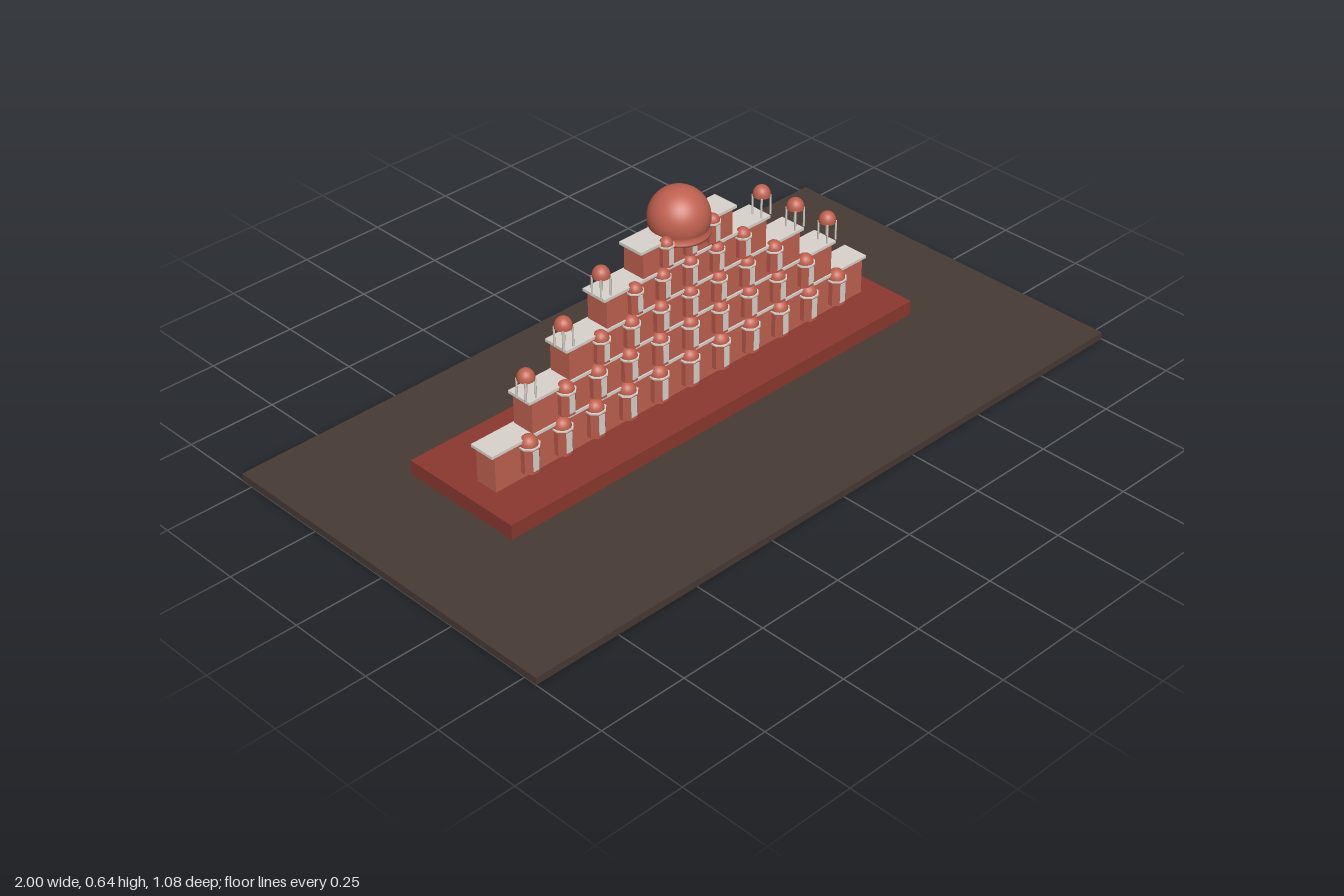
import * as THREE from 'three';

const mat = (color, flatShading = false) =>
  new THREE.MeshStandardMaterial({ color, flatShading, side: THREE.DoubleSide });
const stone = mat(0xc0614f), facet = mat(0xb85a4a, true), plinthRed = mat(0x8a382e);
const pale = mat(0xd8d4cc), earth = mat(0x473a35), dark = mat(0x3a2420);

function add(parent, name, geometry, material, x = 0, y = 0, z = 0) {
  const m = new THREE.Mesh(geometry, material);
  m.name = name;
  m.position.set(x, y, z);
  parent.add(m);
  return m;
}

// Box given by its bottom and top heights
function slab(parent, name, w, y0, y1, d, z, material, x = 0) {
  return add(parent, name, new THREE.BoxGeometry(w, y1 - y0, d), material, x, (y0 + y1) / 2, z);
}

const cap = (r, squash = 1) =>
  new THREE.SphereGeometry(r, 16, 8, 0, Math.PI * 2, 0, Math.PI / 2).scale(1, squash, 1);

// Projecting half-octagonal window bay with a pale screen and a small dome
function makeBay(x, y0, y1, r) {
  const g = new THREE.Group();
  g.name = 'windowBay';
  g.position.set(x, 0, 0.004);
  const h = y1 - y0;
  const body = new THREE.CylinderGeometry(r, r, h, 8, 1, false, 0, Math.PI * 2).rotateY(Math.PI / 8);
  add(g, 'bayBody', body, facet, 0, (y0 + y1) / 2, 0);
  slab(g, 'bayScreen', r * 0.72, y0 + h * 0.12, y1 - h * 0.1, 0.003, r * 0.93, pale);
  const ledge = new THREE.CylinderGeometry(r * 1.14, r * 1.14, 0.004, 8).rotateY(Math.PI / 8);
  add(g, 'bayCornice', ledge, pale, 0, y1, 0);
  add(g, 'bayBracket', new THREE.CylinderGeometry(r * 0.8, r * 0.3, 0.008, 8), dark, 0, y0 - 0.004, 0);
  add(g, 'bayDome', cap(r * 0.92, 1.08), stone, 0, y1 + 0.002, 0);
  return g;
}

// Open four-post kiosk with a domed roof
function makeKiosk(x, y) {
  const g = new THREE.Group();
  g.name = 'roofKiosk';
  g.position.set(x, y, -0.018);
  for (const sx of [-1, 1]) for (const sz of [-1, 1])
    add(g, 'kioskPost', new THREE.CylinderGeometry(0.0028, 0.0028, 0.056, 6), pale, sx * 0.016, 0.028, sz * 0.016);
  add(g, 'kioskEave', new THREE.CylinderGeometry(0.023, 0.023, 0.005, 16), stone, 0, 0.056, 0);
  add(g, 'kioskDome', cap(0.023, 1.1), stone, 0, 0.058, 0);
  return g;
}

export function createModel() {
  const group = new THREE.Group();
  group.name = 'tieredPalaceFacade';

  slab(group, 'ground', 2, 0, 0.02, 1.076, 0, earth);
  slab(group, 'plinth', 1.412, 0.02, 0.062, 0.37, -0.061, plinthRed);

  // Tiers: half width, floor, top of cornice, bay count, bay spacing, bay radius, bay bottom and top
  const tiers = [
    [0.645, 0.062, 0.173, 11, 0.108, 0.026, 0.08, 0.154],
    [0.523, 0.173, 0.270, 9, 0.1045, 0.0245, 0.19, 0.254],
    [0.4, 0.270, 0.361, 7, 0.1, 0.023, 0.285, 0.345],
    [0.275, 0.361, 0.449, 5, 0.093, 0.0215, 0.375, 0.433],
    [0.153, 0.449, 0.529, 3, 0.08, 0.0195, 0.462, 0.518],
  ];
  tiers.forEach(([hw, y0, y1, count, step, r, b0, b1], i) => {
    slab(group, 'tierWall', hw * 2, y0, y1 - 0.008, 0.068, -0.034, stone);
    slab(group, 'tierCornice', hw * 2 + 0.022, y1 - 0.008, y1, 0.077, -0.0345, pale);
    for (let k = 0; k < count; k++)
      group.add(makeBay((k - (count - 1) / 2) * step, b0, b1, r));
    // Kiosks on the outer ends of the middle tiers
    if (i > 0 && i < 4)
      for (const s of [-1, 1]) group.add(makeKiosk(s * hw, y1));
  });

  // Crowning dome with a flared foot, and its finial
  const profile = [[0, 0.506], [0.08, 0.506], [0.08, 0.512], [0.074, 0.52]].map(p => new THREE.Vector2(...p));
  const R = 0.08, start = Math.asin(-0.03 / R);
  for (let k = 1; k <= 16; k++) {
    const a = start + (Math.PI / 2 - start) * k / 16;
    profile.push(new THREE.Vector2(Math.max(0, R * Math.cos(a)), 0.55 + R * Math.sin(a)));
  }
  add(group, 'mainDome', new THREE.LatheGeometry(profile, 32), stone, 0, 0, -0.033);
  add(group, 'finial', new THREE.ConeGeometry(0.005, 0.016, 8), stone, 0, 0.635, -0.033);
  return group;
}
